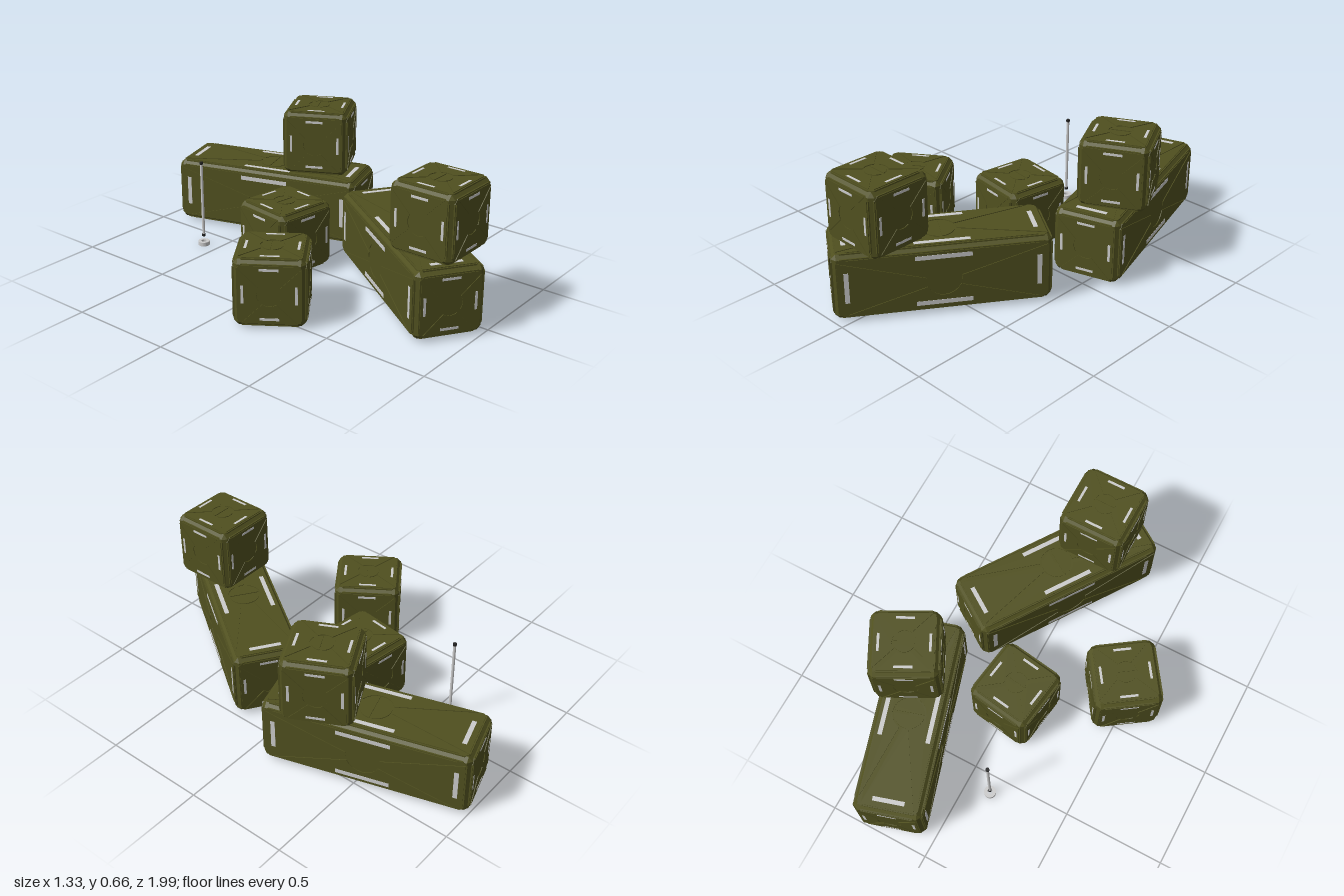
import * as THREE from 'three';
import { ConvexGeometry } from 'three/addons/geometries/ConvexGeometry.js';

const olive = new THREE.MeshStandardMaterial({ color: 0x50501f, flatShading: true });
const grey = new THREE.MeshStandardMaterial({ color: 0xcccccc });
const dark = new THREE.MeshStandardMaterial({ color: 0x222222 });

function part(name, geometry, material, parent) {
  const mesh = new THREE.Mesh(geometry, material);
  mesh.name = name;
  parent.add(mesh);
  return mesh;
}

const poly = pts => new THREE.Shape(pts.map(p => new THREE.Vector2(p[0], p[1])));
const slab = (shapes, z0, z1) =>
  new THREE.ExtrudeGeometry(shapes, { depth: z1 - z0, bevelEnabled: false }).translate(0, 0, z0);

// Box with every edge chamfered by c
function chamferBox(x, y, z, c) {
  const pts = [];
  for (const i of [-1, 1]) for (const j of [-1, 1]) for (const k of [-1, 1]) {
    pts.push(new THREE.Vector3(i * x, j * (y - c), k * (z - c)));
    pts.push(new THREE.Vector3(i * (x - c), j * y, k * (z - c)));
    pts.push(new THREE.Vector3(i * (x - c), j * (y - c), k * z));
  }
  return new ConvexGeometry(pts);
}

// Octagonal cover outline
function octagon(a, b, c) {
  return poly([[-a + c, -b], [a - c, -b], [a, -b + c], [a, b - c],
    [a - c, b], [-a + c, b], [-a, b - c], [-a, -b + c]]);
}

// Four raised panels left between a diagonal cross and a round hub
function panels(a, b, r, o) {
  const len = Math.hypot(a, b), angle = Math.atan2(b, a), gap = Math.asin(o / r);
  const dx = (b * len - o * a) / b, dy = (a * len - o * b) / a;
  const topX = (dx * a - o * b) / len, sideY = (dy * b - o * a) / len;
  const arc = (from, to) => Array.from({ length: 9 }, (_, i) => {
    const t = from + (to - from) * i / 8;
    return [r * Math.cos(t), r * Math.sin(t)];
  });
  const top = [[topX, b], [-topX, b], ...arc(Math.PI - angle - gap, angle + gap)];
  const side = [[a, -sideY], [a, sideY], ...arc(angle - gap, -angle + gap)];
  const turn = pts => pts.map(p => [-p[0], -p[1]]);
  return [top, turn(top), side, turn(side)].map(poly);
}

// Half of the slotted hub
function halfDisc(r, slot, sign) {
  const t = Math.asin(slot / r), s = new THREE.Shape();
  s.absarc(0, 0, r, t + (sign < 0 ? Math.PI : 0), Math.PI - t + (sign < 0 ? Math.PI : 0), false);
  return s;
}

// One crate face, long direction along local x, facing +z
function face(length, width, out, slotted) {
  const g = new THREE.Group();
  g.name = 'crateFace';
  const long = length > 0.5;
  const a = length / 2 - 0.022, b = width / 2 - 0.022, r = long ? 0.08 : 0.056;
  part('coverPlate', slab(octagon(a, b, 0.02), out - 0.012, out - 0.0035), olive, g);
  part('raisedPanels', slab(panels(a - 0.006, b - 0.006, r, 0.011), out - 0.006, out), olive, g);
  if (slotted) {
    const hub = part('slottedHub', slab([1, -1].map(s => halfDisc(r - 0.008, 0.006, s)),
      out - 0.006, out), olive, g);
    hub.rotation.z = Math.PI / 2;
  }
  // Light strips beside the four edges
  const sx = long ? length / 2 - 0.064 : 0.118, sy = long ? 0.114 : 0.118;
  const w = long ? 0.021 : 0.012;
  for (const s of [-1, 1]) {
    part('edgeStrip', new THREE.BoxGeometry(long ? 0.25 : 0.086, w, 0.006), grey, g)
      .position.set(0, s * sy, out - 0.002);
    part('endStrip', new THREE.BoxGeometry(w, long ? 0.15 : 0.086, 0.006), grey, g)
      .position.set(s * sx, 0, out - 0.002);
  }
  return g;
}

// Crate with its long side along z
function crate(name, length, x, y, z, degrees) {
  const S = 0.328, h = Math.PI / 2, g = new THREE.Group();
  g.name = name;
  part('crateBody', chamferBox(S / 2 - 0.006, S / 2 - 0.006, length / 2 - 0.006, 0.02), olive, g);
  const turns = [[0, h, 0], [0, -h, 0], [-h, 0, h], [h, 0, h], [0, 0, 0], [0, Math.PI, 0]];
  turns.forEach((t, i) => {
    const f = i < 4 ? face(length, S, S / 2, i === 2) : face(S, S, length / 2, false);
    f.rotation.set(...t);
    g.add(f);
  });
  g.position.set(x, y, z);
  g.rotation.y = THREE.MathUtils.degToRad(degrees);
  return g;
}

export function createModel() {
  const model = new THREE.Group();
  model.name = 'crateStacks';
  const low = 0.165, high = 0.497;
  model.add(
    crate('frontLongCrate', 0.975, 0.093, 0.172, 0.511, -34.2),
    crate('backLongCrate', 0.975, 0.341, 0.172, -0.495, 17),
    crate('frontStackedCrate', 0.328, -0.03, high, 0.746, 0),
    crate('backStackedCrate', 0.328, 0.452, high, -0.29, 27.5),
    crate('middleCrate', 0.328, -0.024, low, -0.127, -8.5),
    crate('rightCrate', 0.328, -0.457, low, 0.164, 34.5)
  );

  // Thin rod hovering over a small ring foot
  const pole = new THREE.Group();
  pole.name = 'pole';
  pole.position.set(-0.124, 0, -0.582);
  part('rod', new THREE.CylinderGeometry(0.007, 0.007, 0.38, 16), grey, pole).position.y = 0.25;
  for (const y of [0.055, 0.44])
    part('rodCap', new THREE.CylinderGeometry(0.009, 0.009, 0.012, 16), dark, pole).position.y = y;
  const ring = [[0.013, 0.002], [0.029, 0.002], [0.029, 0.022], [0.013, 0.022], [0.013, 0.002]];
  part('ringFoot', new THREE.LatheGeometry(ring.map(p => new THREE.Vector2(...p)), 24),
    new THREE.MeshStandardMaterial({ color: 0xcccccc, flatShading: true }), pole);
  model.add(pole);
  return model;
}
